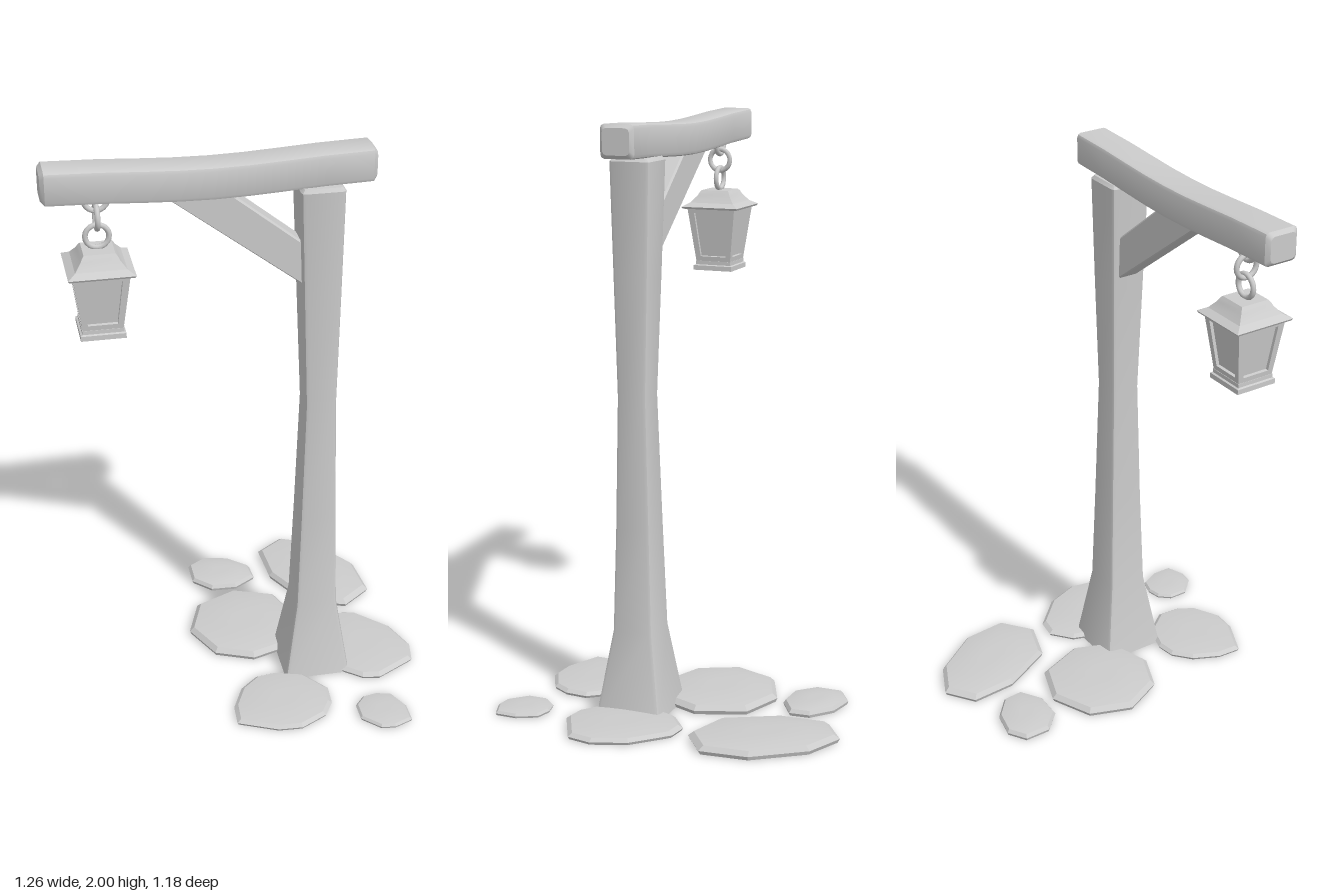
import * as THREE from 'three';
import { toCreasedNormals } from 'three/addons/utils/BufferGeometryUtils.js';

const material = new THREE.MeshStandardMaterial({ color: 0xcccccc });

function add(parent, name, geometry) {
  const mesh = new THREE.Mesh(geometry, material);
  mesh.name = name;
  parent.add(mesh);
  return mesh;
}

// Skin a list of equal-sized closed rings (counter-clockwise about the path) and cap both ends.
function loft(rings, crease = 0.6) {
  const n = rings[0].length;
  const pos = [];
  const tri = (...points) => points.forEach((p) => pos.push(p.x, p.y, p.z));
  const middle = (ring) => ring.reduce((s, p) => s.add(p), new THREE.Vector3()).divideScalar(n);
  const first = rings[0], last = rings[rings.length - 1];
  const start = middle(first), end = middle(last);
  for (let j = 0; j < n; j++) {
    const k = (j + 1) % n;
    for (let i = 0; i + 1 < rings.length; i++) {
      tri(rings[i][j], rings[i][k], rings[i + 1][k]);
      tri(rings[i][j], rings[i + 1][k], rings[i + 1][j]);
    }
    tri(start, first[k], first[j]);
    tri(end, last[j], last[k]);
  }
  const geometry = new THREE.BufferGeometry();
  geometry.setAttribute('position', new THREE.Float32BufferAttribute(pos, 3));
  return toCreasedNormals(geometry, crease);
}

// Rectangle with rounded corners, as counter-clockwise [u, v] pairs.
function roundedSection(halfU, halfV, r) {
  const points = [];
  [[1, 1], [-1, 1], [-1, -1], [1, -1]].forEach(([su, sv], q) => {
    for (let s = 0; s <= 2; s++) {
      const a = (q + s / 2) * Math.PI / 2;
      points.push([su * (halfU - r) + r * Math.cos(a), sv * (halfV - r) + r * Math.sin(a)]);
    }
  });
  return points;
}

const levelRing = (x, y, z, half, r) =>
  roundedSection(half, half, r).map(([u, v]) => new THREE.Vector3(x + u, y, z - v));

// Square tower about the y axis from [half width, y] pairs.
const squareTower = (profile) => {
  const corners = [[1, 1], [1, -1], [-1, -1], [-1, 1]];
  return loft(profile.map(([h, y]) => corners.map(([x, z]) => new THREE.Vector3(x * h, y, z * h))), 0.3);
};

// Low domed paving stone from a plan outline of [x, z] pairs.
function stone(outline, height) {
  const cx = outline.reduce((s, p) => s + p[0], 0) / outline.length;
  const cz = outline.reduce((s, p) => s + p[1], 0) / outline.length;
  const plan = [...outline].reverse();
  const levels = [[0.97, 0], [1, 0.35], [0.92, 0.75], [0.6, 0.97], [0.25, 1]];
  return loft(levels.map(([s, t]) => plan.map(([x, z]) =>
    new THREE.Vector3(cx + (x - cx) * s, height * t, cz + (z - cz) * s))), 0.25);
}

function createLantern() {
  const lantern = new THREE.Group();
  lantern.name = 'lantern';

  // Roof, glass core and foot
  add(lantern, 'lanternRoof', squareTower(
    [[0.103, 1.653], [0.107, 1.66], [0.082, 1.674], [0.062, 1.698], [0.056, 1.71], [0.05, 1.717]]));
  add(lantern, 'lanternGlass', squareTower([[0.054, 1.46], [0.079, 1.655]]));
  add(lantern, 'lanternFoot', squareTower(
    [[0.073, 1.43], [0.073, 1.447], [0.067, 1.45], [0.067, 1.463]]));

  // Four tapered window frames
  const slant = Math.hypot(0.195, 0.025), depth = 0.012;
  const frame = new THREE.Shape([[-0.065, 0], [0.065, 0], [0.09, slant], [-0.09, slant]]
    .map(([x, y]) => new THREE.Vector2(x, y)));
  frame.holes.push(new THREE.Path([[-0.048, 0.02], [-0.065, slant - 0.018], [0.065, slant - 0.018], [0.048, 0.02]]
    .map(([x, y]) => new THREE.Vector2(x, y))));
  for (let i = 0; i < 4; i++) {
    const geometry = new THREE.ExtrudeGeometry(frame, { depth, bevelEnabled: false });
    geometry.translate(0, 0, -depth).rotateX(Math.atan2(0.025, 0.195));
    geometry.translate(0, 1.46, 0.065).rotateY(i * Math.PI / 2);
    add(lantern, 'windowFrame', geometry);
  }

  // Chain: two rings with a narrow link across them
  const ring = (name, y, turn, stretch) => {
    const geometry = new THREE.TorusGeometry(0.038, 0.009, 8, 20);
    geometry.scale(1, stretch, 1).rotateY(turn);
    add(lantern, name, geometry).position.y = y;
  };
  ring('lowerRing', 1.758, 0, 1);
  ring('middleLink', 1.823, Math.PI / 2, 1);
  ring('upperRing', 1.882, 0, 1);

  lantern.position.set(-0.462, 0, 0.138);
  return lantern;
}

export function createModel() {
  const model = new THREE.Group();
  model.name = 'lanternPost';

  // Post: flared foot, slim waist, wider head
  const postLevels = [
    [0.259, 0, 0.117, 0.14], [0.259, 0.29, 0.073, 0.139], [0.259, 0.65, 0.063, 0.14],
    [0.259, 1.1, 0.053, 0.143], [0.252, 1.5, 0.063, 0.142],
    [0.245, 1.875, 0.072, 0.142], [0.245, 1.887, 0.064, 0.142],
  ];
  add(model, 'post', loft(postLevels.map(([x, y, half, z]) => levelRing(x, y, z, half, 0.013)), 0.5));

  // Sagging crossbeam with softened ends
  const stations = [-0.635, -0.622, -0.45, -0.32, -0.21, -0.1, 0.01, 0.12, 0.25, 0.407, 0.42];
  add(model, 'crossbeam', loft(stations.map((x, i) => {
    const inset = i === 0 || i === stations.length - 1 ? 0.012 : 0;
    const sag = 0.02 * Math.cos((x + 0.108) / 0.528 * Math.PI / 2) ** 2;
    return roundedSection(0.055 - inset, 0.059 - inset, 0.014)
      .map(([u, v]) => new THREE.Vector3(x, 1.945 - sag + u, 0.138 + v));
  })));

  // Diagonal brace, its ends buried in the beam and post
  const brace = new THREE.Shape([[-0.285, 1.91], [0.22, 1.523], [0.22, 1.67], [-0.08, 1.91]]
    .map(([x, y]) => new THREE.Vector2(x, y)));
  const braceGeometry = new THREE.ExtrudeGeometry(brace,
    { depth: 0.064, bevelSize: 0.006, bevelThickness: 0.006, bevelOffset: -0.006, bevelSegments: 1 });
  add(model, 'brace', braceGeometry).position.z = 0.106;

  model.add(createLantern());

  // Paving stones around the foot
  const stones = [
    [0.038, [[0.3, -0.595], [0.43, -0.535], [0.55, -0.365], [0.565, -0.2], [0.46, -0.12], [0.31, -0.17], [0.21, -0.36], [0.2, -0.525]]],
    [0.03, [[-0.025, -0.52], [0.07, -0.5], [0.145, -0.435], [0.15, -0.365], [0.07, -0.315], [-0.025, -0.32], [-0.09, -0.385], [-0.09, -0.48]]],
    [0.04, [[0.05, -0.285], [0.2, -0.23], [0.265, -0.06], [0.21, 0.08], [0.05, 0.13], [-0.085, 0.075], [-0.155, -0.07], [-0.1, -0.22]]],
    [0.028, [[0.405, -0.08], [0.475, -0.07], [0.585, 0.04], [0.63, 0.16], [0.615, 0.245], [0.475, 0.32], [0.415, 0.31], [0.34, 0.25], [0.29, 0.1], [0.33, -0.02]]],
    [0.026, [[0.035, 0.235], [0.105, 0.225], [0.205, 0.255], [0.275, 0.345], [0.27, 0.425], [0.235, 0.485], [0.14, 0.535], [0.055, 0.53], [-0.08, 0.47], [-0.075, 0.385], [-0.03, 0.29]]],
    [0.02, [[0.435, 0.405], [0.49, 0.42], [0.525, 0.49], [0.525, 0.565], [0.46, 0.59], [0.41, 0.585], [0.35, 0.525], [0.35, 0.455], [0.385, 0.415]]],
  ];
  stones.forEach(([height, outline]) => add(model, 'pavingStone', stone(outline, height)));

  return model;
}
